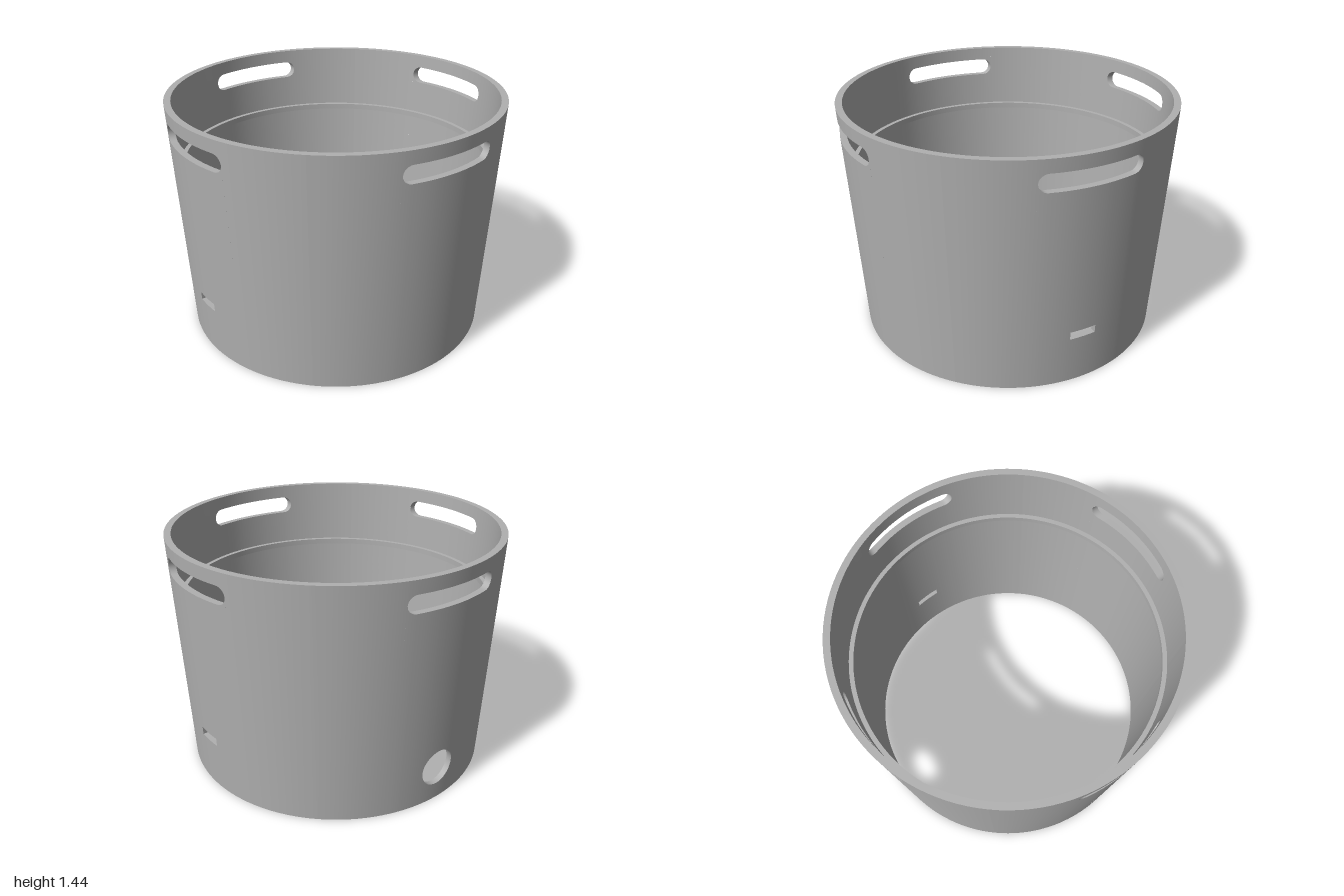
import * as THREE from 'three';
import { toCreasedNormals } from 'three/addons/utils/BufferGeometryUtils.js';

const HEIGHT = 1.44;
const outerR = y => 0.93 + 0.07 * y / HEIGHT;
const innerR = y => 0.895 + 0.065 * y / HEIGHT;

// Openings: half width w, and half height h at sideways position s
const slot = { y: 1.308, w: 0.305, h: s => Math.sqrt(Math.max(0, 0.053 ** 2 - Math.max(0, Math.abs(s) - 0.252) ** 2)) };
const vent = { y: 0.327, w: 0.08, h: () => 0.025 };
const port = { y: 0.22, w: 0.115, h: s => Math.sqrt(Math.max(0, 0.115 ** 2 - s * s)) };

// Column positions across one quarter: straight sideways steps, then angle steps to 45 degrees
const FLAT = 0.4;
function makeColumns() {
  const half = [0.02, 0.04, 0.06, 0.08, 0.16, 0.205, 0.252, 0.35, FLAT];
  for (let k = 1; k <= 6; k++) half.push(0.252 + 0.053 * Math.sin(k * Math.PI / 12));
  for (let k = 3; k <= 8; k++) half.push(0.115 * Math.sin(k * Math.PI / 16));
  for (let k = 1; k <= 7; k++) half.push(FLAT + k / 7);
  half.sort((a, b) => a - b);
  return [...half.map(s => -s).reverse(), 0, ...half];
}

function pointAt(s, y, radius) {
  const r = radius(y), a = Math.abs(s);
  const start = Math.asin(Math.min(a, FLAT) / r);
  const t = Math.max(0, a - FLAT);
  const angle = Math.sign(s) * (start + (Math.PI / 4 - start) * t);
  return [r * Math.sin(angle), y, r * Math.cos(angle)];
}

// One quarter of the tapered wall, facing +z, with its openings cut straight through
function quarterWall(holes) {
  const pos = [];
  const quad = (a, b, c, d) => pos.push(...a, ...b, ...c, ...a, ...c, ...d);
  const O = (s, y) => pointAt(s, y, outerR), I = (s, y) => pointAt(s, y, innerR);
  const cols = makeColumns();
  const sorted = [...holes].sort((a, b) => a.y - b.y);
  for (let i = 0; i < cols.length - 1; i++) {
    const s = cols[i], e = cols[i + 1];
    const levels = [[0, 0]];
    for (const o of sorted) {
      if (Math.abs(s + e) / 2 > o.w) continue;
      levels.push([o.y - o.h(s), o.y - o.h(e)], [o.y + o.h(s), o.y + o.h(e)]);
    }
    levels.push([HEIGHT, HEIGHT]);
    for (let k = 0; k < levels.length; k += 2) {
      const [a, b] = levels[k], [c, d] = levels[k + 1];
      quad(O(s, a), O(e, b), O(e, d), O(s, c));
      quad(I(e, b), I(s, a), I(s, c), I(e, d));
      quad(O(s, c), O(e, d), I(e, d), I(s, c));
      quad(I(s, a), I(e, b), O(e, b), O(s, a));
    }
  }
  // Upright ends of square-cornered openings
  for (const o of holes) {
    const h = o.h(o.w), lo = o.y - h, hi = o.y + h;
    if (h < 0.01) continue;
    quad(O(-o.w, lo), I(-o.w, lo), I(-o.w, hi), O(-o.w, hi));
    quad(I(o.w, lo), O(o.w, lo), O(o.w, hi), I(o.w, hi));
  }
  const g = new THREE.BufferGeometry();
  g.setAttribute('position', new THREE.Float32BufferAttribute(pos, 3));
  return toCreasedNormals(g, 0.5);
}

export function createModel() {
  const group = new THREE.Group();
  const grey = new THREE.MeshStandardMaterial({ color: 0xb0b0b0 });
  grey.name = 'grey';
  const add = (name, geometry, turn = 0) => {
    const mesh = new THREE.Mesh(geometry, grey);
    mesh.name = name;
    mesh.rotation.y = turn;
    group.add(mesh);
  };

  // Four wall quarters, each with a handle slot
  add('frontWall', quarterWall([slot]));
  add('leftWall', quarterWall([slot, vent]), Math.PI / 2);
  add('backWall', quarterWall([slot, port]), Math.PI);
  add('rightWall', quarterWall([slot, vent]), -Math.PI / 2);

  // Narrow support ledge around the inside
  const ledge = [[0.95, 1.045], [0.915, 1.045], [0.915, 1.01], [0.95, 1.01]];
  const profile = ledge.map(([r, y]) => new THREE.Vector2(r, y));
  add('innerLedge', toCreasedNormals(new THREE.LatheGeometry(profile, 128), 0.5));
  return group;
}
